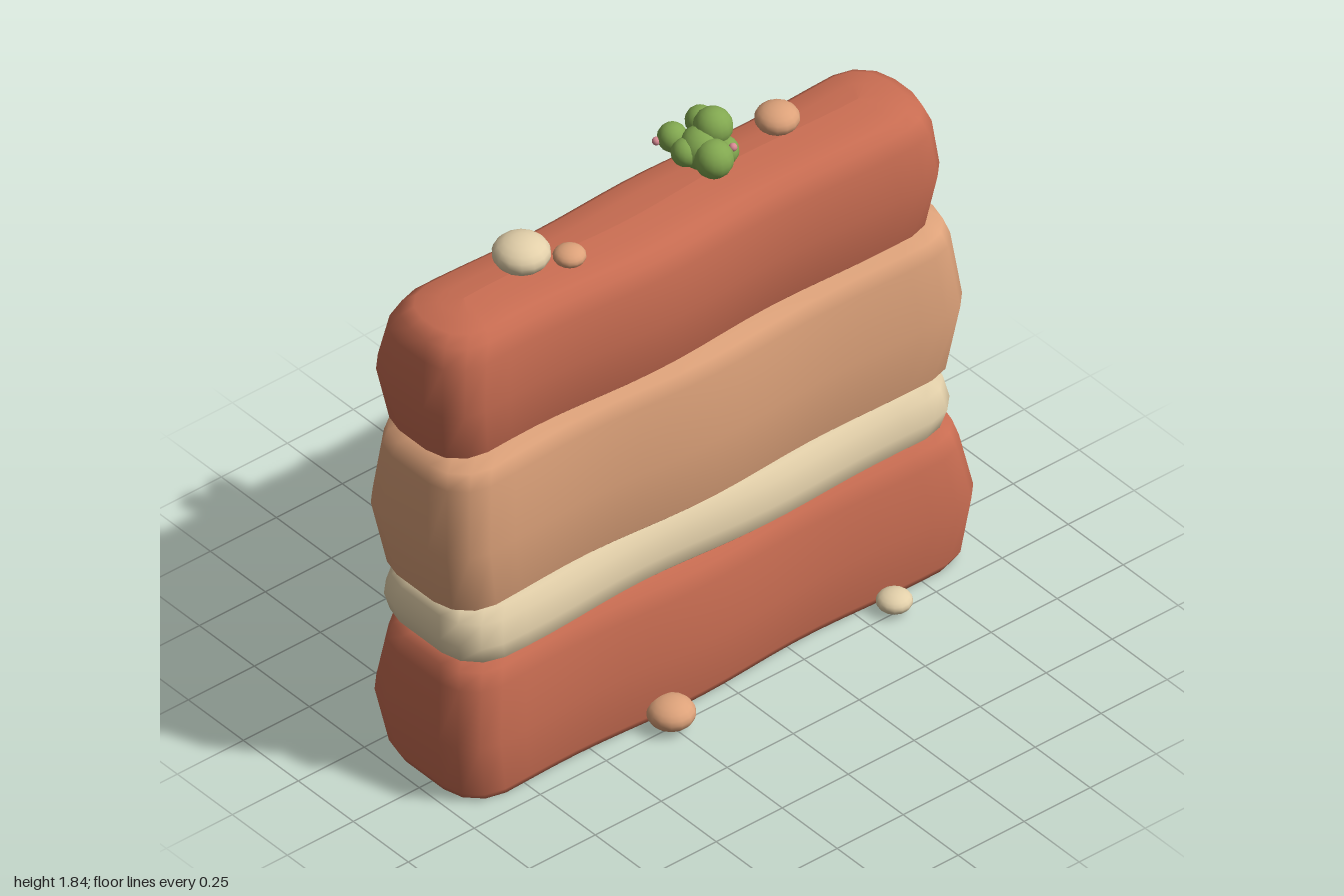
import * as THREE from 'three';

const COLORS = { red: 0xc96d52, tan: 0xdda27a, cream: 0xe3d0aa, green: 0x82a850, pink: 0xd98a94 };
const mats = {};
for (const k in COLORS) mats[k] = new THREE.MeshStandardMaterial({ color: COLORS[k] });

// Plan outline of a slab: rounded rectangle with gently waving long sides
function outline(x0, x1, zb, zf, phase, wave) {
  const pts = [], SIDE = 18, ARC = 4;
  const h = (zf - zb) / 2, r = Math.min(0.13, h * 0.8);
  const corner = (cx, cz, a0) => {
    for (let i = 0; i < ARC; i++) {
      const a = a0 + (i / (ARC - 1)) * Math.PI / 2;
      pts.push([cx + Math.cos(a) * r, cz + Math.sin(a) * r]);
    }
  };
  const side = (from, to, z) => {
    for (let i = 1; i < SIDE; i++) pts.push([from + (to - from) * i / SIDE, z]);
  };
  corner(x1 - r, zf - r, 0);
  side(x1 - r, x0 + r, zf);
  corner(x0 + r, zf - r, Math.PI / 2);
  corner(x0 + r, zb + r, Math.PI);
  side(x0 + r, x1 - r, zb);
  corner(x1 - r, zb + r, Math.PI * 1.5);
  return pts.map(([x, z]) => {
    const fade = Math.max(0, 1 - x * x);
    return [x, z + wave * fade * Math.sin(x * 6.5 + phase + (z < -0.08 ? 1.5 : 0))];
  });
}

// Rock slab lofted through rings of [y, x0, x1, zBack, zFront]
function slab(name, mat, rings, phase, dome) {
  const inset = ([y, x0, x1, zb, zf], t, dy) => {
    const d = (zf - zb) / 2 * t;
    return [y + dy, x0 + d, x1 - d, zb + d, zf - d];
  };
  const first = rings[0], last = rings[rings.length - 1];
  const all = [inset(first, 1, 0), inset(first, 0.5, 0), ...rings, inset(last, 0.5, dome * 0.7), inset(last, 1, dome)];
  const pos = [], idx = [];
  let n = 0;
  for (const [y, x0, x1, zb, zf] of all) {
    const loop = outline(x0, x1, zb, zf, phase, 0.012);
    n = loop.length;
    for (const [x, z] of loop) {
      const lift = y > 0.1 ? 0.004 * Math.cos(x * 5 + phase) : 0;
      pos.push(x, y + lift, z);
    }
  }
  for (let j = 0; j < all.length - 1; j++) {
    for (let i = 0; i < n; i++) {
      const a = j * n + i, b = j * n + (i + 1) % n;
      idx.push(a, a + n, b, b, a + n, b + n);
    }
  }
  const g = new THREE.BufferGeometry();
  g.setAttribute('position', new THREE.Float32BufferAttribute(pos, 3));
  g.setIndex(idx);
  g.computeVertexNormals();
  const mesh = new THREE.Mesh(g, mats[mat]);
  mesh.name = name;
  return mesh;
}

function ball(name, mat, [x, y, z], r, ry = r) {
  const mesh = new THREE.Mesh(new THREE.SphereGeometry(1, 14, 10), mats[mat]);
  mesh.scale.set(r, ry, r);
  mesh.position.set(x, y, z);
  mesh.name = name;
  return mesh;
}

export function createModel() {
  const group = new THREE.Group();
  group.name = 'layeredRockWall';

  // Stacked rock layers, bottom to top
  group.add(
    slab('bottomRedLayer', 'red', [
      [0.00, -0.95, 0.95, -0.25, 0.18],
      [0.03, -0.965, 0.965, -0.265, 0.195],
      [0.22, -0.995, 0.995, -0.295, 0.21],
      [0.40, -0.965, 0.965, -0.275, 0.18],
      [0.455, -0.95, 0.95, -0.265, 0.165],
      [0.48, -0.91, 0.91, -0.235, 0.135],
    ], 2.4, 0),
    slab('creamLayer', 'cream', [
      [0.475, -0.92, 0.88, -0.25, 0.145],
      [0.50, -0.95, 0.91, -0.28, 0.17],
      [0.56, -0.965, 0.93, -0.29, 0.18],
      [0.63, -0.95, 0.92, -0.275, 0.16],
      [0.66, -0.92, 0.89, -0.25, 0.135],
    ], 0.6, 0),
    slab('tanLayer', 'tan', [
      [0.655, -0.93, 0.92, -0.26, 0.12],
      [0.68, -0.96, 0.95, -0.28, 0.145],
      [0.90, -0.997, 0.99, -0.31, 0.165],
      [1.12, -0.975, 0.965, -0.285, 0.14],
      [1.17, -0.96, 0.95, -0.275, 0.125],
      [1.19, -0.91, 0.90, -0.24, 0.09],
    ], 2.0, 0),
    slab('topRedLayer', 'red', [
      [1.185, -0.93, 0.88, -0.25, 0.08],
      [1.21, -0.955, 0.905, -0.275, 0.105],
      [1.39, -0.985, 0.933, -0.30, 0.13],
      [1.54, -0.965, 0.92, -0.27, 0.11],
      [1.595, -0.94, 0.90, -0.245, 0.09],
      [1.618, -0.90, 0.86, -0.215, 0.06],
    ], 3.0, 0.018),
  );

  // Loose pebbles on the crest and at the foot
  const pebbles = [
    ['cream', [-0.53, 1.68, -0.10], 0.088, 0.055],
    ['tan', [-0.41, 1.655, -0.025], 0.05, 0.03],
    ['tan', [0.46, 1.67, -0.125], 0.068, 0.044],
    ['tan', [-0.25, 0.052, 0.245], 0.074, 0.048],
    ['cream', [0.6, 0.038, 0.24], 0.055, 0.033],
  ];
  pebbles.forEach(([mat, p, r, ry], i) => group.add(ball('pebble' + (i + 1), mat, p, r, ry)));

  // Small shrub with tiny blossoms
  const shrub = new THREE.Group();
  shrub.name = 'shrub';
  const leaves = [
    [0.15, 1.73, -0.10, 0.068], [0.20, 1.78, -0.105, 0.06], [0.145, 1.728, -0.035, 0.06],
    [0.105, 1.745, -0.175, 0.046], [0.21, 1.755, -0.175, 0.046], [0.10, 1.73, -0.11, 0.044],
    [0.205, 1.705, -0.15, 0.045], [0.205, 1.715, -0.06, 0.045],
  ];
  for (const [x, y, z, r] of leaves) shrub.add(ball('leafClump', 'green', [x, y, z], r));
  for (const p of [[0.205, 1.75, -0.02], [0.06, 1.74, -0.195]]) shrub.add(ball('blossom', 'pink', p, 0.013));
  group.add(shrub);

  return group;
}
